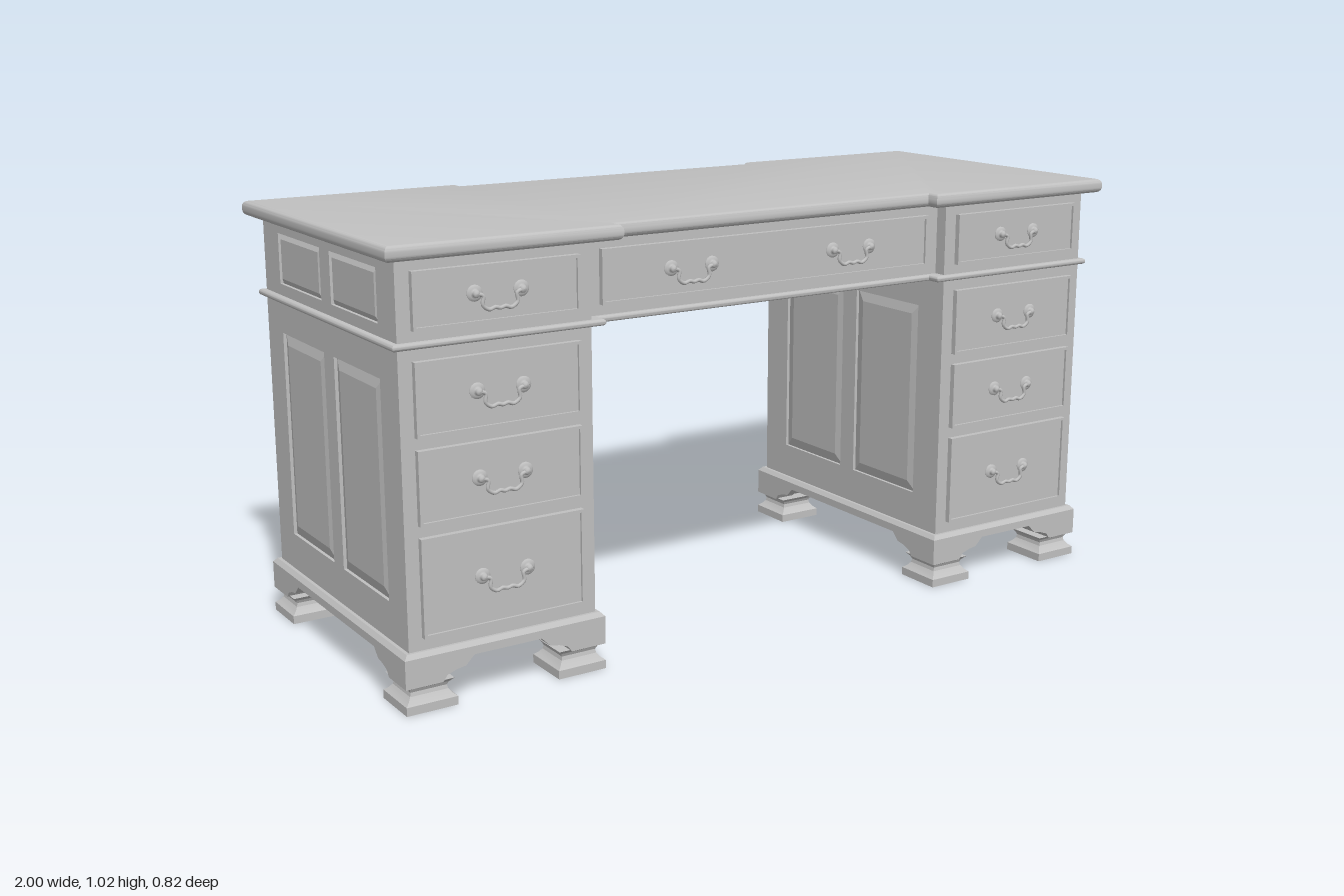
import * as THREE from 'three';
import { toCreasedNormals } from 'three/addons/utils/BufferGeometryUtils.js';

const grey = new THREE.MeshStandardMaterial({ color: 0xc0c0c0 });
grey.name = 'paintedGrey';

function add(parent, name, geometry, x = 0, y = 0, z = 0) {
  const mesh = new THREE.Mesh(geometry, grey);
  mesh.name = name;
  mesh.position.set(x, y, z);
  parent.add(mesh);
  return mesh;
}

function group(parent, name, x = 0, y = 0, z = 0) {
  const g = new THREE.Group();
  g.name = name;
  g.position.set(x, y, z);
  parent.add(g);
  return g;
}

// box given by its limits
function block(parent, name, x0, x1, y0, y1, z0, z1) {
  return add(parent, name, new THREE.BoxGeometry(x1 - x0, y1 - y0, z1 - z0),
    (x0 + x1) / 2, (y0 + y1) / 2, (z0 + z1) / 2);
}

function rect(Type, x0, x1, y0, y1) {
  const pts = [[x0, y0], [x1, y0], [x1, y1], [x0, y1]].map(p => new THREE.Vector2(...p));
  return new Type(pts);
}

// flat slab with recessed middle at front and back, and a rounded edge
function slab(parent, name, X, Z, innerX, innerZ, y0, y1, round) {
  const r = round;
  const pts = [[X, Z], [innerX, Z], [innerX, innerZ], [-innerX, innerZ], [-innerX, Z], [-X, Z],
    [-X, -Z], [-innerX, -Z], [-innerX, -innerZ], [innerX, -innerZ], [innerX, -Z], [X, -Z]];
  // pull the outline in by the rounding, which the bevel gives back
  const shape = new THREE.Shape(pts.map(([x, z]) =>
    new THREE.Vector2(x - Math.sign(x) * r, z - Math.sign(z) * r)));
  const thick = Math.min(r, (y1 - y0) * 0.45);
  const geo = new THREE.ExtrudeGeometry(shape, {
    depth: y1 - y0 - 2 * thick, bevelThickness: thick, bevelSize: r, bevelSegments: 5 });
  geo.translate(0, 0, thick).rotateX(-Math.PI / 2);
  return add(parent, name, toCreasedNormals(geo, 0.6), 0, y0, 0);
}

// face frame with bevelled raised fields set in its openings, facing +z
const T = 0.008;
function panelledFace(parent, name, w, h, openings, bevel) {
  const g = group(parent, name);
  const shape = rect(THREE.Shape, -w / 2, w / 2, -h / 2, h / 2);
  for (const o of openings) shape.holes.push(rect(THREE.Path, ...o));
  add(g, 'frame', new THREE.ExtrudeGeometry(shape, { depth: T, bevelEnabled: false }), 0, 0, -T);
  for (const [x0, x1, y0, y1] of openings) {
    const geo = new THREE.BoxGeometry(x1 - x0, y1 - y0, T - 0.001).toNonIndexed();
    const p = geo.attributes.position;
    for (let i = 0; i < p.count; i++) if (p.getZ(i) > 0) {
      p.setX(i, p.getX(i) - Math.sign(p.getX(i)) * bevel);
      p.setY(i, p.getY(i) - Math.sign(p.getY(i)) * bevel);
    }
    geo.computeVertexNormals();
    add(g, 'raisedField', geo, (x0 + x1) / 2, (y0 + y1) / 2, -(T + 0.001) / 2);
  }
  return g;
}

// two round roses with knobs and a hanging bail
const roseProfile = [[0.018, 0], [0.018, 0.003], [0.012, 0.005], [0.007, 0.006],
  [0.009, 0.011], [0.006, 0.015], [0, 0.016]].map(p => new THREE.Vector2(...p));
function handle(parent, x, y, z) {
  const g = group(parent, 'handle', x, y, z);
  for (const s of [-1, 1]) {
    const rose = add(g, 'rose', new THREE.LatheGeometry(roseProfile, 16), s * 0.055, 0.003, 0);
    rose.rotation.x = Math.PI / 2;
  }
  const pts = [[-0.055, 0.003], [-0.04, -0.003], [-0.041, -0.022], [-0.026, -0.033], [-0.012, -0.029],
    [0, -0.032], [0.012, -0.029], [0.026, -0.033], [0.041, -0.022], [0.04, -0.003], [0.055, 0.003]];
  const curve = new THREE.CatmullRomCurve3(pts.map(p => new THREE.Vector3(p[0], p[1], 0.011)));
  add(g, 'bail', new THREE.TubeGeometry(curve, 40, 0.0045, 8));
}

// drawer front with a thin raised bead round it
function drawer(parent, x0, x1, y0, y1, z, handleXs) {
  const g = group(parent, 'drawer');
  block(g, 'drawerFront', x0, x1, y0, y1, z - 0.01, z + 0.008);
  const b = 0.007;
  const rim = rect(THREE.Shape, x0, x1, y0, y1);
  rim.holes.push(rect(THREE.Path, x0 + b, x1 - b, y0 + b, y1 - b));
  add(g, 'bead', new THREE.ExtrudeGeometry(rim, { depth: 0.006, bevelEnabled: false }), 0, 0, z + 0.008);
  for (const hx of handleXs) handle(g, hx, (y0 + y1) / 2, z + 0.008);
}

// corner foot: flared square block under two bracket wings
const footProfile = [[0, 0], [0.061, 0], [0.061, 0.02], [0.052, 0.027], [0.045, 0.036],
  [0.043, 0.045], [0.047, 0.053], [0.056, 0.062], [0, 0.062]]
  .map(([r, y]) => new THREE.Vector2(r * Math.SQRT2, y));
const wingProfile = [[0, 0.06], [0.088, 0.06], [0.098, 0.074], [0.12, 0.082], [0.143, 0.086],
  [0.155, 0.098], [0.166, 0.109], [0, 0.109]];
function foot(parent, x, z, sx, sz) {
  const g = group(parent, 'foot', x, 0, z);
  const block4 = new THREE.LatheGeometry(footProfile, 4).rotateY(Math.PI / 4);
  add(g, 'footBlock', toCreasedNormals(block4, 0.3), -sx * 0.061, 0, -sz * 0.061);
  const wing = (alongX) => {
    const s = alongX ? sx : sz;
    const shape = new THREE.Shape(wingProfile.map(([u, y]) => new THREE.Vector2(-s * u, y)));
    const geo = new THREE.ExtrudeGeometry(shape, { depth: 0.06, bevelEnabled: false });
    if (alongX) geo.translate(0, 0, sz > 0 ? -0.06 : 0);
    else geo.rotateY(-Math.PI / 2).translate(sx > 0 ? 0 : 0.06, 0, 0);
    add(g, 'bracketWing', geo);
  };
  wing(true);
  wing(false);
}

const IN = 0.505, OUT = 0.965, FRONT = 0.372, BACK = -0.37;
const MID = (IN + OUT) / 2;

// panelled walls round one storey of a pedestal
function storey(parent, name, s, y0, y1, p0, p1, bevel, innerPanels) {
  const g = group(parent, name);
  const h = y1 - y0, cy = (y0 + y1) / 2, cz = (FRONT + BACK) / 2;
  const lim = [s * (IN + T), s * (OUT - T)].sort((a, b) => a - b);
  block(g, 'core', lim[0], lim[1], y0, y1, BACK + T, FRONT);
  const pair = [[-0.278, -0.028], [0.028, 0.278]].map(([a, b]) => [a, b, p0 - cy, p1 - cy]);
  const outer = panelledFace(g, 'outerSide', FRONT - BACK, h, pair, bevel);
  outer.position.set(s * OUT, cy, cz);
  outer.rotation.y = s * Math.PI / 2;
  const inner = panelledFace(g, 'innerSide', FRONT - BACK, h, innerPanels ? pair : [], bevel);
  inner.position.set(s * IN, cy, cz);
  inner.rotation.y = -s * Math.PI / 2;
  const back = panelledFace(g, 'back', OUT - IN - 2 * T, h, [[-0.175, 0.175, p0 - cy, p1 - cy]], bevel);
  back.position.set(s * MID, cy, BACK);
  back.rotation.y = Math.PI;
}

function pedestal(parent, s) {
  const g = group(parent, s > 0 ? 'leftPedestal' : 'rightPedestal');
  storey(g, 'cabinet', s, 0.13, 0.802, 0.225, 0.72, 0.026, true);
  storey(g, 'frieze', s, 0.802, 0.99, 0.838, 0.957, 0.013, false);

  // drawer stack
  const a = s * 0.538, b = s * 0.933;
  for (const [y0, y1] of [[0.165, 0.388], [0.415, 0.58], [0.607, 0.77], [0.835, 0.96]])
    drawer(g, Math.min(a, b), Math.max(a, b), y0, y1, FRONT, [s * MID]);

  // plinth with a chamfered top edge
  const px = 0.247, pz = 0.388;
  block(g, 'plinth', s * MID - px, s * MID + px, 0.107, 0.126, -pz, pz);
  const cap = new THREE.BoxGeometry(2 * px, 0.01, 2 * pz).toNonIndexed();
  const p = cap.attributes.position;
  for (let i = 0; i < p.count; i++) if (p.getY(i) > 0) {
    p.setX(i, p.getX(i) - Math.sign(p.getX(i)) * 0.009);
    p.setZ(i, p.getZ(i) - Math.sign(p.getZ(i)) * 0.009);
  }
  cap.computeVertexNormals();
  add(g, 'plinthChamfer', cap, s * MID, 0.131, 0);

  for (const sx of [-1, 1]) for (const sz of [-1, 1])
    foot(g, s * MID + sx * px, sz * pz, sx, sz);
}

export function createModel() {
  const desk = new THREE.Group();
  desk.name = 'pedestalDesk';

  slab(desk, 'top', 1, 0.41, 0.468, 0.378, 0.985, 1.02, 0.013);
  slab(desk, 'waistMoulding', 0.98, 0.384, 0.488, 0.352, 0.796, 0.811, 0.007);

  for (const s of [-1, 1]) pedestal(desk, s);

  // kneehole frieze, open at the back
  const centre = group(desk, 'centreFrieze');
  block(centre, 'friezeBoard', -0.506, 0.506, 0.805, 0.99, 0.31, 0.34);
  drawer(centre, -0.465, 0.465, 0.835, 0.96, 0.34, [-0.228, 0.228]);

  return desk;
}
